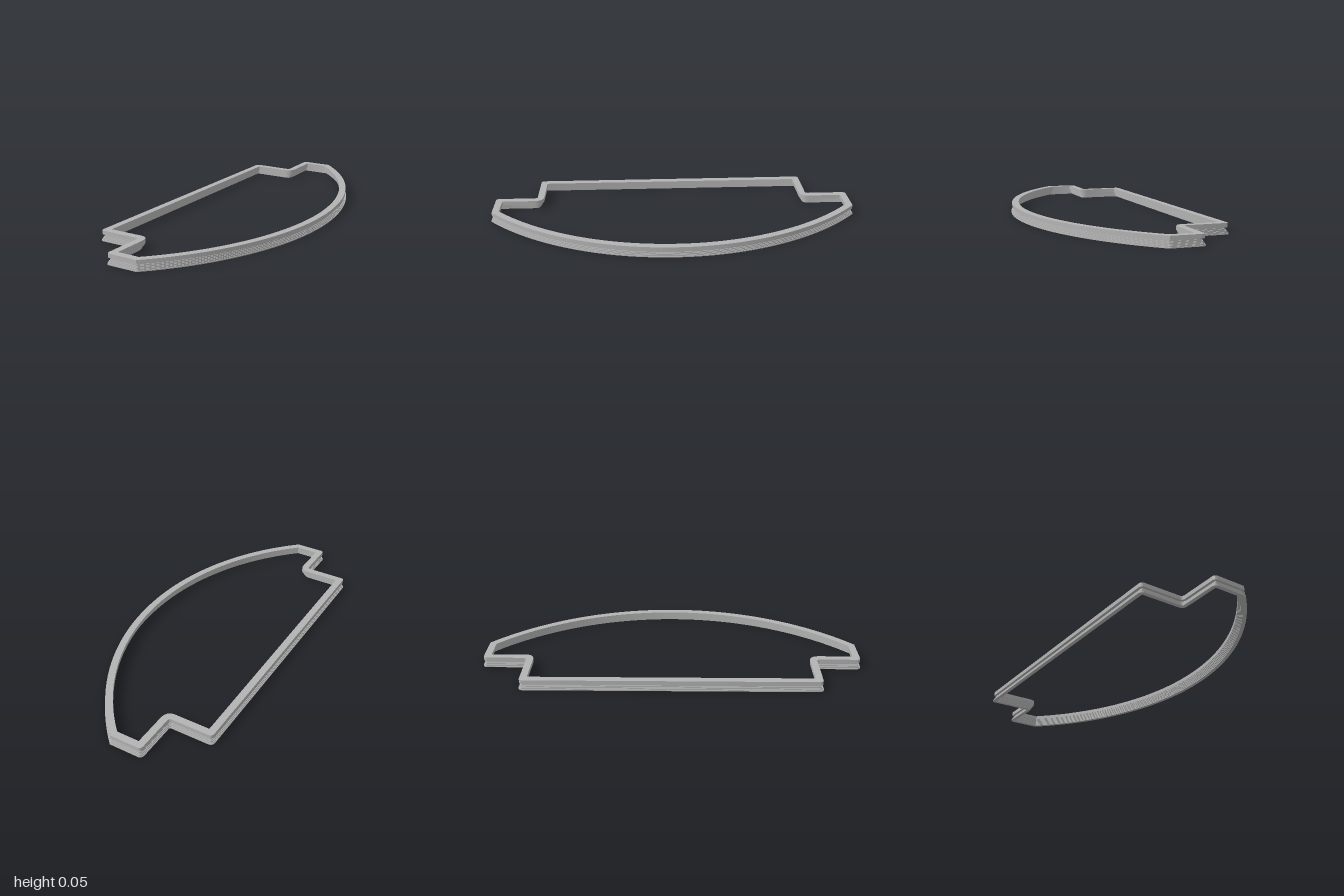
import * as THREE from 'three';
import { toCreasedNormals } from 'three/addons/utils/BufferGeometryUtils.js';

// Frame outline, grown outward by d (negative shrinks it)
function trace(path, d) {
  const left = -0.422 - d, step = -0.187 - d, notch = 0.765 + d, end = 0.995 + d;
  const radius = 1.351 + d, cx = -0.929;
  const tip = Math.asin(end / radius);
  const outer = Math.max(0.02 + d, 0.002);   // convex corners
  const inner = Math.max(0.016 - d, 0.002);  // concave corners
  path.moveTo(cx + radius * Math.cos(tip), -end);
  path.absarc(cx, 0, radius, -tip, tip, false);
  const corners = [
    [step, end, outer], [step, notch, inner], [left, notch, outer],
    [left, -notch, outer], [step, -notch, inner], [step, -end, outer],
  ];
  let px = cx + radius * Math.cos(tip), py = end;
  corners.forEach(([x, y, r], i) => {
    const next = corners[i + 1] || [0, -end];
    const a = new THREE.Vector2(px - x, py - y).setLength(r);
    const b = new THREE.Vector2(next[0] - x, next[1] - y).setLength(r);
    path.lineTo(x + a.x, y + a.y);
    path.quadraticCurveTo(x, y, x + b.x, y + b.y);
    px = x;
    py = y;
  });
  path.closePath();
  return path;
}

// Flat ring between two offsets of the outline
function ring(name, outer, inner, y, height, material) {
  const shape = trace(new THREE.Shape(), outer);
  shape.holes.push(trace(new THREE.Path(), inner));
  let geometry = new THREE.ExtrudeGeometry(shape, {
    depth: height, bevelEnabled: false, curveSegments: 32,
  });
  geometry.rotateX(-Math.PI / 2);
  geometry.translate(0, y, 0);
  geometry = toCreasedNormals(geometry, 0.5);
  const mesh = new THREE.Mesh(geometry, material);
  mesh.name = name;
  return mesh;
}

export function createModel() {
  const group = new THREE.Group();
  group.name = 'gasketFrame';
  const grey = new THREE.MeshStandardMaterial({ color: 0xb3b3b3 });
  grey.name = 'grey';

  // Upper flange
  group.add(ring('topFlange', 0, -0.037, 0.034, 0.021, grey));

  // Stepped skirt flaring outward toward the base
  const layers = 6, height = 0.034 / layers;
  for (let i = 0; i < layers; i++) {
    const outer = 0.005 - i * 0.0038;
    group.add(ring('skirtStep' + (i + 1), outer, outer - 0.02, i * height, height, grey));
  }
  return group;
}
